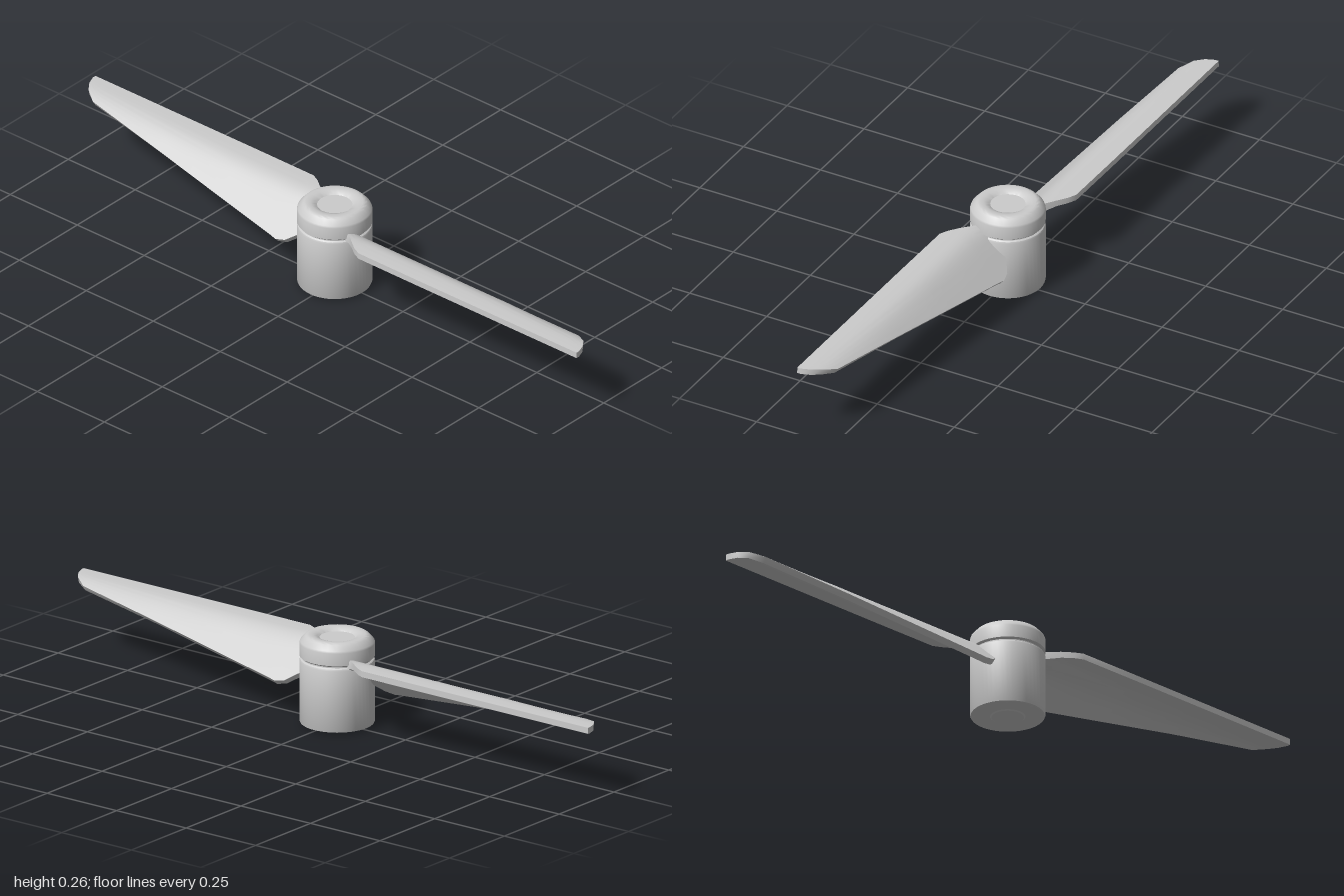
import * as THREE from 'three';
import { toCreasedNormals } from 'three/addons/utils/BufferGeometryUtils.js';

const material = new THREE.MeshStandardMaterial({ color: 0xcccccc });

// Surface of revolution from [radius, height] pairs, bottom to top
function turned(name, profile) {
  const points = profile.map(([r, y]) => new THREE.Vector2(r, y));
  const mesh = new THREE.Mesh(toCreasedNormals(new THREE.LatheGeometry(points, 48), 0.5), material);
  mesh.name = name;
  return mesh;
}

// Camber line: flat along the leading edge, then bending down to the trailing edge
const camber = (z) => 0.213 - 0.97 * 0.012 * Math.log(1 + Math.exp((0.04 - z) / 0.012));

function bladeGeometry() {
  // Plan outline: [x, leading z, trailing z]
  const outline = [
    [0.06, 0.04, -0.02], [0.1, 0.06, -0.045], [0.13, 0.083, -0.065], [0.16, 0.105, -0.071],
    [0.185, 0.117, -0.067], [0.4, 0.118, -0.039], [0.65, 0.118, -0.006], [0.93, 0.118, 0.031],
    [0.97, 0.118, 0.055], [0.99, 0.118, 0.08], [1, 0.118, 0.107],
  ];
  const n = 20, ring = 2 * (n + 1);
  const positions = [], index = [];

  for (const [x, lead, trail] of outline) {
    for (let k = 0; k < ring; k++) {
      const top = k <= n;
      const i = top ? k : ring - 1 - k;
      const z = THREE.MathUtils.lerp(lead, trail, i / n);
      const slope = (camber(z + 0.001) - camber(z - 0.001)) / 0.002;
      // Slightly thicker under the fold near the root
      const bump = 0.012 * (1 - x) * Math.exp(-(((z - 0.04) / 0.025) ** 2));
      const offset = (top ? 0.009 : -0.009 - bump) / Math.hypot(1, slope);
      positions.push(x, camber(z) + offset, z - slope * offset);
    }
  }

  const quad = (a, b, c, d) => index.push(a, b, c, a, c, d);
  for (let s = 0; s < outline.length - 1; s++) {
    for (let k = 0; k < ring; k++) {
      const a = s * ring, b = a + ring, next = (k + 1) % ring;
      quad(a + k, b + k, b + next, a + next);
    }
  }
  // Root and tip caps
  const tip = (outline.length - 1) * ring;
  for (let i = 0; i < n; i++) {
    const bottom = ring - 1 - i;
    quad(tip + i, tip + bottom, tip + bottom - 1, tip + i + 1);
    quad(i + 1, bottom - 1, bottom, i);
  }

  const geometry = new THREE.BufferGeometry();
  geometry.setAttribute('position', new THREE.Float32BufferAttribute(positions, 3));
  geometry.setIndex(index);
  return toCreasedNormals(geometry, 0.6);
}

export function createModel() {
  const model = new THREE.Group();
  model.name = 'propeller';

  // Hub: body, groove and chamfered cap with a recessed centre
  const hub = new THREE.Group();
  hub.name = 'hub';
  hub.position.set(-0.003, 0, 0.002);
  hub.add(
    turned('hubBody', [
      [0, 0.003], [0.1, 0.003], [0.105, 0.005], [0.107, 0.01], [0.107, 0.187],
      [0.105, 0.192], [0.101, 0.195], [0, 0.195],
    ]),
    turned('hubGroove', [[0.1, 0.19], [0.1, 0.205]]),
    turned('hubCap', [
      [0, 0.199], [0.102, 0.199], [0.107, 0.203], [0.107, 0.24], [0.105, 0.246],
      [0.091, 0.261], [0.086, 0.264], [0.08, 0.265], [0.068, 0.264], [0.056, 0.26], [0.05, 0.255], [0.05, 0.245],
    ]),
    turned('shaft', [[0, 0], [0.046, 0], [0.05, 0.003], [0.05, 0.255], [0, 0.255]]),
  );
  model.add(hub);

  // Two blades, half a turn apart
  const geometry = bladeGeometry();
  ['leftBlade', 'rightBlade'].forEach((name, i) => {
    const blade = new THREE.Mesh(geometry, material);
    blade.name = name;
    blade.rotation.y = i * Math.PI;
    model.add(blade);
  });

  return model;
}
